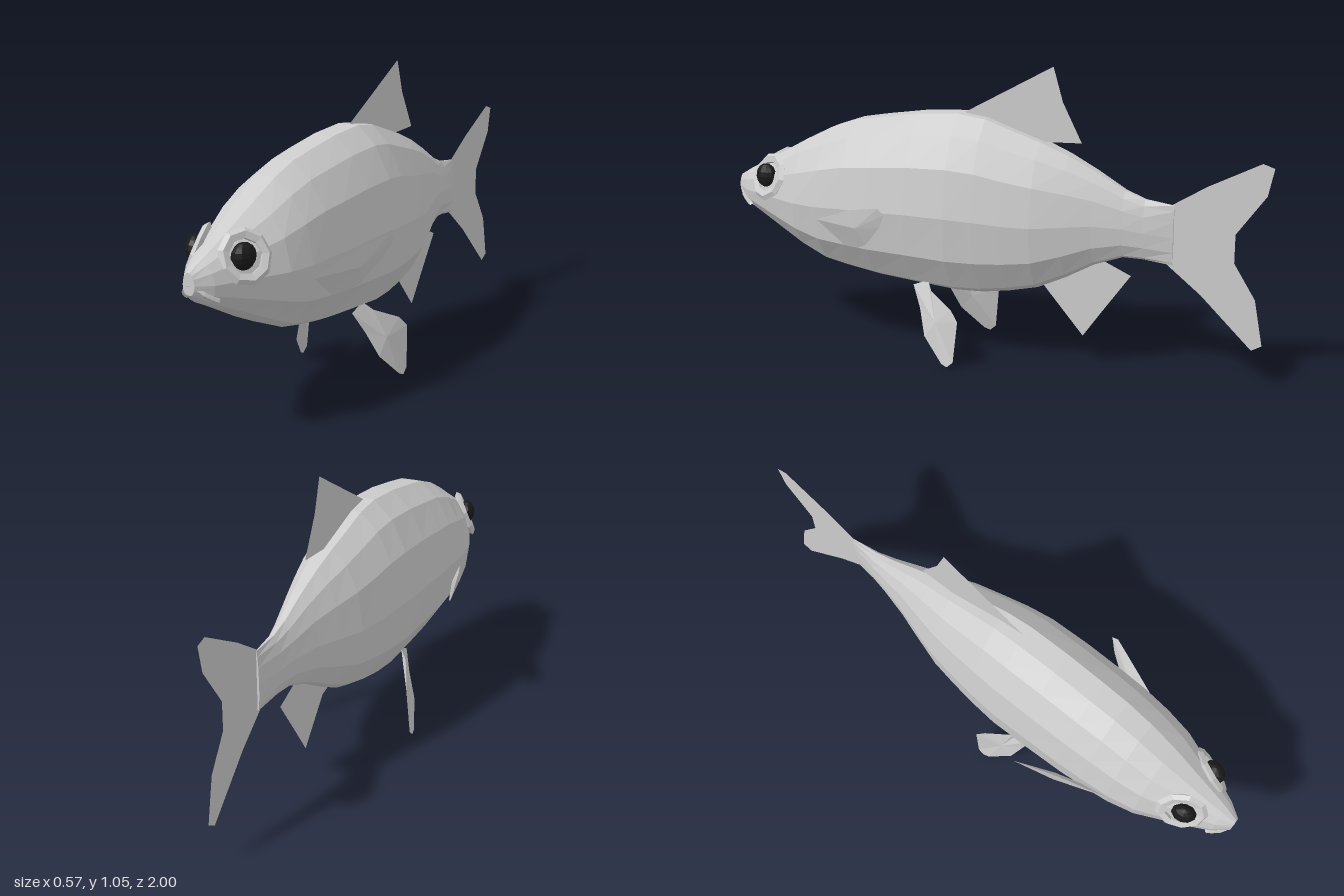
import * as THREE from 'three';

const grey = new THREE.MeshStandardMaterial({ color: 0xcccccc, flatShading: true, side: THREE.DoubleSide });
grey.name = 'silver grey';
const black = new THREE.MeshStandardMaterial({ color: 0x1a1a1a, flatShading: true });
black.name = 'eye black';

// Body stations: z, bottom, top, half width
const stations = [
  [1.0, 0.505, 0.575, 0.022], [0.95, 0.468, 0.605, 0.06], [0.89, 0.44, 0.637, 0.088], [0.8, 0.395, 0.685, 0.125],
  [0.7, 0.345, 0.74, 0.165], [0.6, 0.3, 0.79, 0.182], [0.5, 0.28, 0.825, 0.19], [0.4, 0.265, 0.843, 0.194],
  [0.25, 0.252, 0.866, 0.195], [0.1, 0.24, 0.876, 0.192], [0, 0.243, 0.862, 0.18], [-0.1, 0.258, 0.828, 0.164],
  [-0.2, 0.28, 0.795, 0.145], [-0.3, 0.325, 0.755, 0.113], [-0.4, 0.38, 0.705, 0.08], [-0.5, 0.415, 0.648, 0.052],
  [-0.57, 0.413, 0.622, 0.033], [-0.67, 0.4, 0.61, 0.008],
];
// Half of the normalised cross-section, from back ridge to belly
const half = [[0.2, 1], [0.56, 0.8], [0.85, 0.45], [1, -0.08], [0.92, -0.57], [0.58, -0.92], [0.31, -1]];

function meshFrom(name, positions, index, material) {
  const g = new THREE.BufferGeometry();
  g.setAttribute('position', new THREE.Float32BufferAttribute(positions, 3));
  g.setIndex(index);
  const flat = g.toNonIndexed();
  flat.computeVertexNormals();
  const m = new THREE.Mesh(flat, material);
  m.name = name;
  return m;
}

function buildBody() {
  const ring = [...half, ...half.map(([x, y]) => [-x, y]).reverse()];
  const n = ring.length, pos = [], idx = [];
  for (const [z, bottom, top, w] of stations) {
    for (const [x, t] of ring) pos.push(x * w, (top + bottom) / 2 + t * (top - bottom) / 2, z);
  }
  for (let j = 0; j < stations.length - 1; j++) {
    for (let i = 0; i < n; i++) {
      const a = j * n + i, b = j * n + (i + 1) % n;
      idx.push(a, b, a + n, b, b + n, a + n);
    }
  }
  // Close snout and tail end
  const last = (stations.length - 1) * n;
  for (let i = 1; i < n - 1; i++) {
    idx.push(0, i + 1, i, last, last + i, last + i + 1);
  }
  return meshFrom('body', pos, idx, grey);
}

// Flat fin on the centre plane, outline as [z, y]
function medianFin(name, outline) {
  const g = new THREE.ShapeGeometry(new THREE.Shape(outline.map(([z, y]) => new THREE.Vector2(z, y))));
  g.rotateY(-Math.PI / 2);
  const m = new THREE.Mesh(g, grey);
  m.name = name;
  return m;
}

// Paired fin: a lens built as two shallow fans around the outline centre
function pairedFin(name, outline, side, thickness) {
  const pts = outline.map(([x, y, z]) => new THREE.Vector3(x * side, y, z));
  const n = pts.length, c = new THREE.Vector3(), normal = new THREE.Vector3();
  pts.forEach(p => c.addScaledVector(p, 1 / n));
  pts.forEach((p, i) => normal.add(p.clone().sub(c).cross(pts[(i + 1) % n].clone().sub(c))));
  normal.normalize().multiplyScalar(thickness);
  const all = [...pts, c.clone().add(normal), c.clone().sub(normal)];
  const idx = [];
  for (let i = 0; i < n; i++) {
    const k = (i + 1) % n;
    idx.push(i, k, n, k, i, n + 1);
  }
  return meshFrom(name, all.flatMap(p => p.toArray()), idx, grey);
}

const pectoral = [[0.175, 0.48, 0.6], [0.15, 0.395, 0.56], [0.2, 0.4, 0.42], [0.222, 0.42, 0.38],
  [0.265, 0.5, 0.305], [0.287, 0.555, 0.275], [0.285, 0.575, 0.3], [0.235, 0.545, 0.43]];
const pelvic = [[0.105, 0.255, 0.25], [0.11, 0.28, 0.19], [0.14, 0.25, 0.165], [0.188, 0.205, 0.07], [0.203, 0.17, 0.04],
  [0.21, 0.02, 0.055], [0.211, 0.0, 0.078], [0.207, 0.008, 0.1], [0.172, 0.09, 0.18], [0.135, 0.18, 0.212]];

export function createModel() {
  const model = new THREE.Group();
  model.name = 'fish';
  model.add(buildBody());

  model.add(medianFin('tailFin', [[-0.62, 0.6], [-0.66, 0.61], [-0.78, 0.685], [-0.96, 0.778], [-1, 0.765], [-0.98, 0.67],
    [-0.88, 0.53], [-0.88, 0.43], [-0.955, 0.31], [-0.985, 0.15], [-0.95, 0.13], [-0.77, 0.305], [-0.65, 0.4], [-0.62, 0.42]]));
  model.add(medianFin('dorsalFin', [[0.09, 0.876], [-0.235, 1.055], [-0.27, 0.935], [-0.34, 0.797], [-0.16, 0.79]]));
  model.add(medianFin('analFin', [[-0.2, 0.285], [-0.355, 0.105], [-0.425, 0.205], [-0.525, 0.345], [-0.4, 0.4], [-0.25, 0.34]]));

  for (const side of [1, -1]) {
    const label = side > 0 ? 'left' : 'right';
    model.add(pairedFin(label + 'PectoralFin', pectoral, side, 0.012));
    model.add(pairedFin(label + 'PelvicFin', pelvic, side, 0.009));

    // Eye
    const eye = new THREE.Mesh(new THREE.SphereGeometry(0.044, 10, 8), black);
    eye.name = label + 'Eye';
    eye.scale.x = 0.72;
    eye.rotation.y = -0.3 * side;
    eye.position.set(0.09 * side, 0.602, 0.845);
    model.add(eye);

    // Raised rim around the eye, lying along the cheek
    const rim = new THREE.Mesh(new THREE.TorusGeometry(0.072, 0.02, 5, 9), grey);
    rim.name = label + 'EyeRim';
    rim.scale.z = 0.65;
    rim.position.set(0.088 * side, 0.598, 0.835);
    rim.lookAt(new THREE.Vector3((0.088 + 0.82) * side, 0.598 + 0.38, 0.835 + 0.42));
    model.add(rim);
  }

  // Arched upper lip
  const lipPath = new THREE.CatmullRomCurve3([[-0.06, 0.48, 0.935], [-0.034, 0.508, 0.975], [0, 0.535, 0.992],
    [0.034, 0.508, 0.975], [0.06, 0.48, 0.935]].map(p => new THREE.Vector3(...p)));
  const lip = new THREE.Mesh(new THREE.TubeGeometry(lipPath, 8, 0.01, 5), grey);
  lip.name = 'upperLip';
  model.add(lip);

  return model;
}
